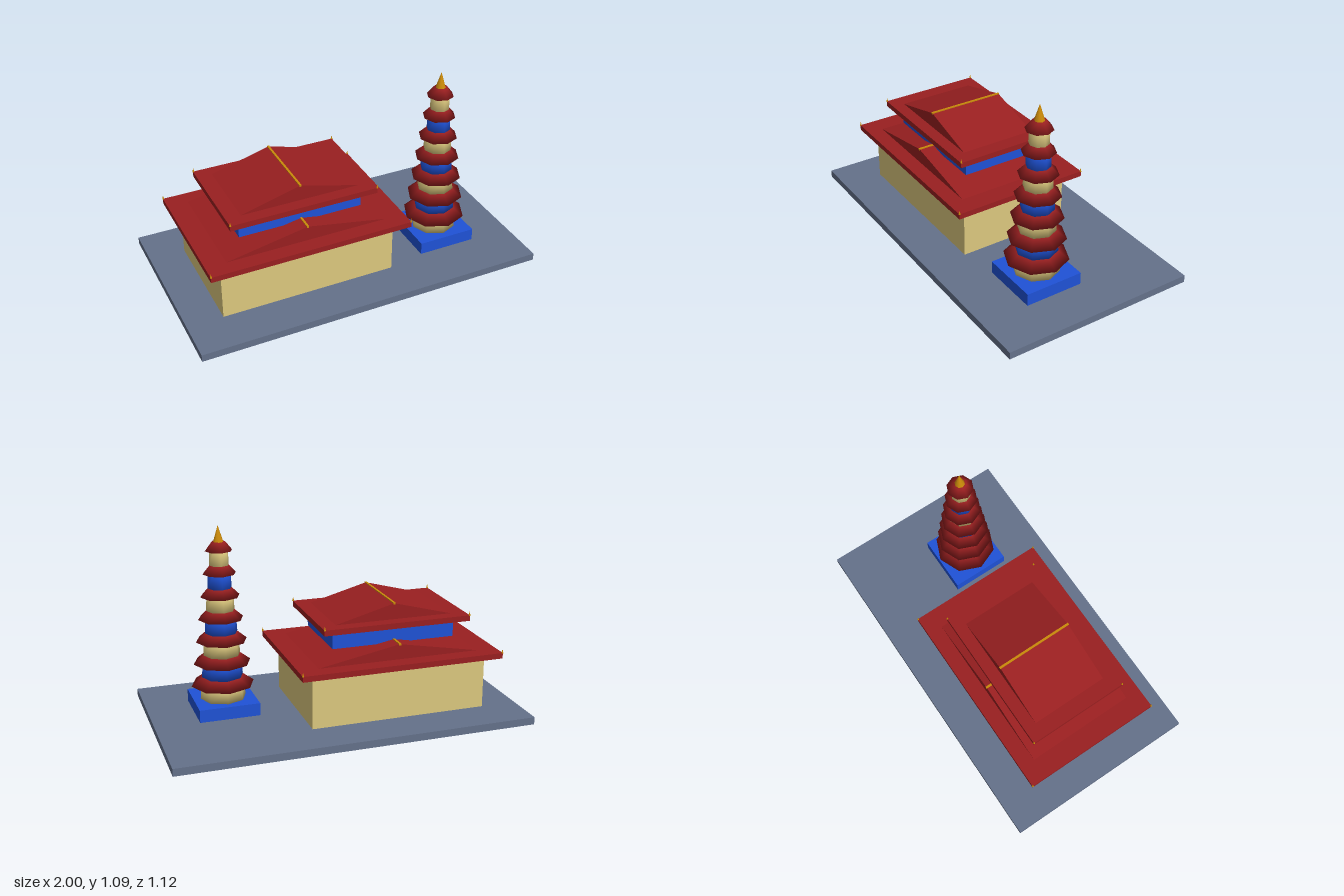
import * as THREE from 'three';
import { mergeVertices } from 'three/addons/utils/BufferGeometryUtils.js';

const mat = (name, color) => {
  const m = new THREE.MeshStandardMaterial({ color });
  m.name = name;
  return m;
};

export function createModel() {
  const slate = mat('slate', 0x64718a);
  const red = mat('roofRed', 0x991f20);
  const blue = mat('paintBlue', 0x1f52d6);
  const tan = mat('wallTan', 0xdcc87e);
  const gold = mat('gold', 0xca8a0a);
  const model = new THREE.Group();
  model.name = 'templeCourt';

  const add = (parent, name, geometry, material, x, y, z) => {
    const mesh = new THREE.Mesh(geometry, material);
    mesh.name = name;
    mesh.position.set(x, y, z);
    parent.add(mesh);
    return mesh;
  };
  // Box placed by its bottom and top height
  const slab = (parent, name, material, x, z, w, y0, y1, d) =>
    add(parent, name, new THREE.BoxGeometry(w, y1 - y0, d), material, x, (y0 + y1) / 2, z);
  // Eight-sided frustum with normals shared between caps and sides
  const softFrustum = (top, bottom, h) => {
    const g = new THREE.CylinderGeometry(top, bottom, h, 8);
    g.deleteAttribute('normal');
    g.deleteAttribute('uv');
    const merged = mergeVertices(g, 1e-4);
    merged.computeVertexNormals();
    return merged;
  };

  slab(model, 'ground', slate, 0, 0, 2, 0, 0.042, 1.12);

  // Hall with two stacked roofs
  const hall = new THREE.Group();
  hall.name = 'hall';
  hall.position.x = -0.297;
  model.add(hall);
  slab(hall, 'lowerWalls', tan, 0, 0, 1.0, 0.042, 0.335, 0.65);
  slab(hall, 'upperWalls', blue, 0, 0, 0.705, 0.443, 0.536, 0.44);

  function roof(name, y, halfX, halfZ, gableX, gableZ, rise) {
    const g = new THREE.Group();
    g.name = name;
    g.position.y = y;
    hall.add(g);
    slab(g, 'eaves', red, 0, 0, halfX * 2, 0, 0.032, halfZ * 2);
    // Low gable running front to back
    const s = new THREE.Shape();
    s.moveTo(-gableX, 0);
    s.lineTo(gableX, 0);
    s.lineTo(0, rise);
    s.closePath();
    const prism = new THREE.ExtrudeGeometry(s, { depth: gableZ * 2, bevelEnabled: false });
    add(g, 'gable', prism, red, 0, 0.032, -gableZ);
    slab(g, 'ridge', gold, 0, 0, 0.012, 0.026 + rise, 0.036 + rise, gableZ * 2 + 0.006);
    // Corner finials
    for (const sx of [-1, 1]) for (const sz of [-1, 1]) {
      add(g, 'cornerFinial', new THREE.ConeGeometry(0.006, 0.024, 6), gold,
        sx * (halfX - 0.002), 0.042, sz * (halfZ - 0.002));
    }
  }
  roof('lowerRoof', 0.344, 0.575, 0.398, 0.46, 0.31, 0.086);
  roof('upperRoof', 0.544, 0.42, 0.289, 0.335, 0.22, 0.09);

  // Seven-tier pagoda
  const pagoda = new THREE.Group();
  pagoda.name = 'pagoda';
  pagoda.position.set(0.585, 0, 0.118);
  model.add(pagoda);
  slab(pagoda, 'plinth', blue, 0, 0, 0.337, 0.042, 0.113, 0.337);
  const bodyH = 0.079, roofH = 0.0474;
  for (let i = 0; i < 7; i++) {
    const y = 0.113 + i * (bodyH + roofH);
    const r = 0.128 - i * 0.0123;
    add(pagoda, 'tierBody' + (i + 1), softFrustum(r * 0.95, r, bodyH),
      i % 2 ? blue : tan, 0, y + bodyH / 2, 0);
    add(pagoda, 'tierRoof' + (i + 1), softFrustum(r - 0.0165, 0.176 - i * 0.0169, roofH),
      red, 0, y + bodyH + roofH / 2, 0);
  }
  add(pagoda, 'spire', new THREE.ConeGeometry(0.028, 0.09, 8), gold, 0, 1.0425, 0);

  return model;
}
